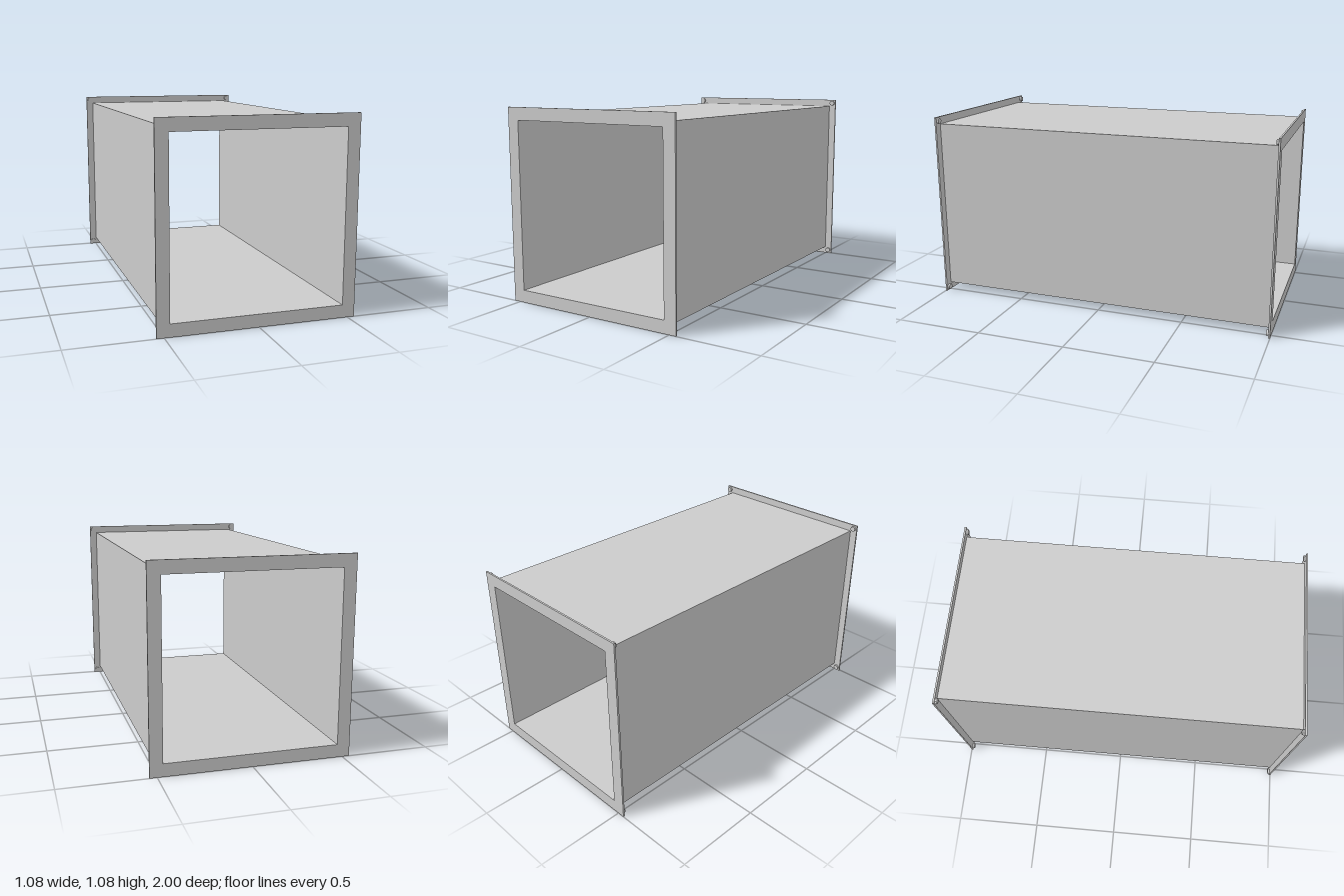
import * as THREE from 'three';

const CY = 0.54; // height of the duct axis
const material = new THREE.MeshStandardMaterial({ color: 0xcccccc, flatShading: true });

// Square frame extruded along z, centred on the origin
function squareTube(outer, inner, length) {
  const square = (Type, h) => {
    const p = new Type();
    p.moveTo(-h, -h);
    p.lineTo(h, -h);
    p.lineTo(h, h);
    p.lineTo(-h, h);
    p.closePath();
    return p;
  };
  const shape = square(THREE.Shape, outer);
  shape.holes.push(square(THREE.Path, inner));
  return new THREE.ExtrudeGeometry(shape, { depth: length, bevelEnabled: false })
    .translate(0, 0, -length / 2);
}

export function createModel() {
  const model = new THREE.Group();
  model.name = 'squareDuct';
  const add = (name, geometry, x, y, z) => {
    const mesh = new THREE.Mesh(geometry, material);
    mesh.name = name;
    mesh.position.set(x, y, z);
    model.add(mesh);
  };

  // Hollow duct body between the two flanges
  add('ductBody', squareTube(0.497, 0.47, 1.98), 0, CY, 0);

  const flange = squareTube(0.54, 0.47, 0.01);
  const bolt = new THREE.CylinderGeometry(0.016, 0.016, 0.012, 12).rotateX(Math.PI / 2);
  for (const side of [1, -1]) {
    const end = side > 0 ? 'front' : 'back';
    add(end + 'Flange', flange, 0, CY, side * 0.995);

    // Corner bolts on the inward face of each flange
    for (const sx of [-1, 1]) {
      for (const sy of [-1, 1]) {
        add(end + 'CornerBolt', bolt, sx * 0.518, CY + sy * 0.518, side * 0.984);
      }
    }
  }
  return model;
}
